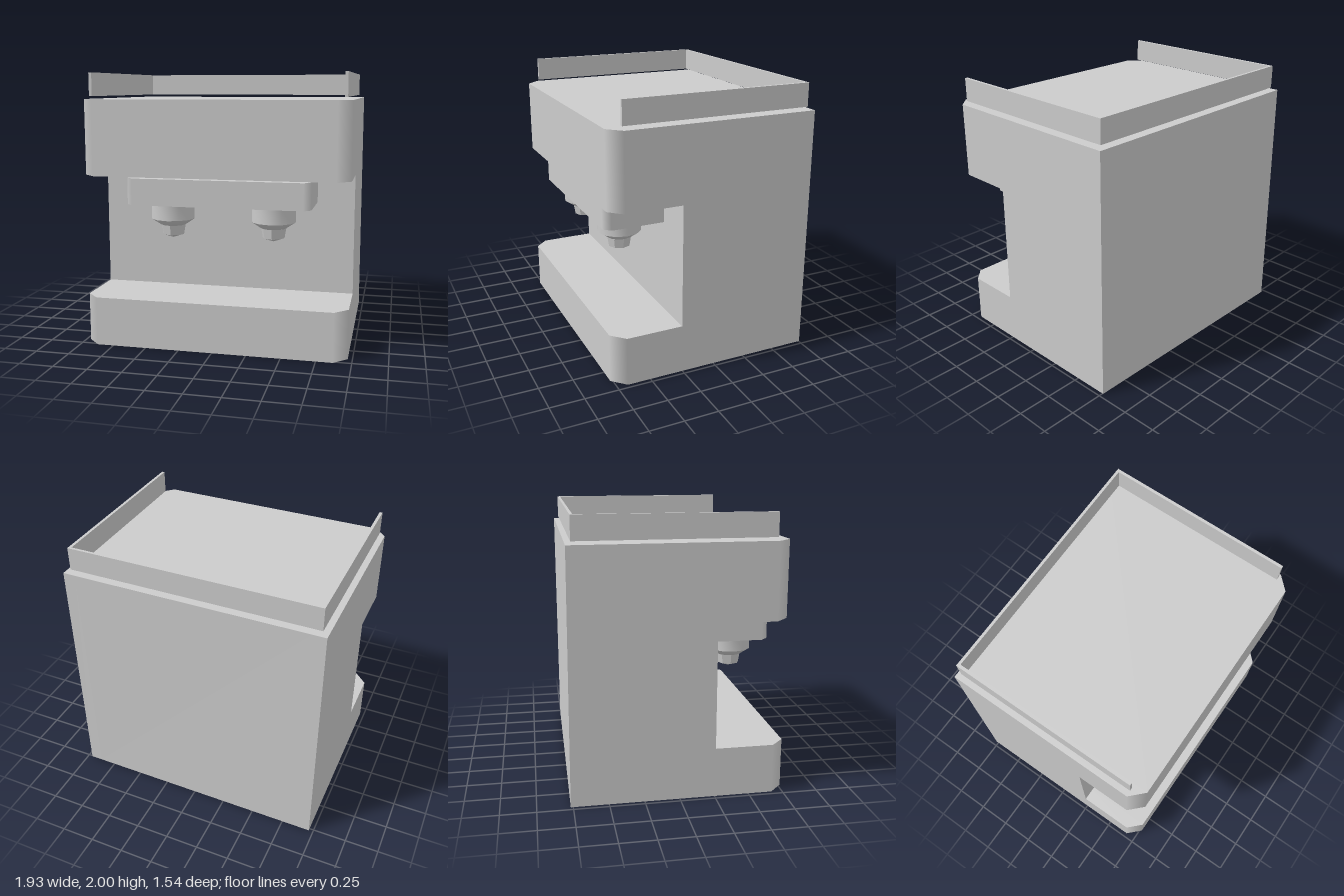
import * as THREE from 'three';
import { toCreasedNormals } from 'three/addons/utils/BufferGeometryUtils.js';

const material = new THREE.MeshStandardMaterial({ color: 0xcccccc });

function add(parent, name, geometry) {
  const mesh = new THREE.Mesh(geometry, material);
  mesh.name = name;
  parent.add(mesh);
  return mesh;
}

// Side profile of [z, y] points swept across x, with chamfered front corners shaded as round
function chamferedSweep(profile, halfWidth, chamfer, adjust) {
  const shape = new THREE.Shape(profile.map(([z, y]) => new THREE.Vector2(z, y)));
  let geo = new THREE.ExtrudeGeometry(shape, { depth: 3, steps: 3, bevelEnabled: false });
  geo.translate(0, 0, -1.5).rotateY(-Math.PI / 2);
  const front = Math.max(...profile.map(p => p[0]));
  const pos = geo.attributes.position;
  for (let i = 0; i < pos.count; i++) {
    const sx = pos.getX(i), end = Math.abs(sx) > 1;
    const x = Math.sign(sx) * (end ? halfWidth : halfWidth - chamfer);
    let z = pos.getZ(i);
    if (end && z > front - 0.001) z -= chamfer;
    if (adjust) z = adjust(x, pos.getY(i), z);
    pos.setXYZ(i, x, pos.getY(i), z);
  }
  if (geo.index) geo = geo.toNonIndexed();
  geo.computeVertexNormals();
  const n = geo.attributes.normal, p = geo.attributes.position;
  for (let i = 0; i < n.count; i++) {
    const nx = Math.abs(n.getX(i));
    if (nx < 0.4 || nx > 0.9) continue;
    if (Math.abs(p.getX(i)) > halfWidth - chamfer / 2) n.setXYZ(i, Math.sign(p.getX(i)), 0, 0);
    else n.setXYZ(i, 0, 0, 1);
  }
  return geo;
}

function lathe(points, sides, crease) {
  const geo = new THREE.LatheGeometry(points.map(([r, y]) => new THREE.Vector2(r, y)), sides);
  return toCreasedNormals(geo, crease);
}

export function createModel() {
  const model = new THREE.Group();
  model.name = 'coffeeMachine';

  // C-shaped housing; the back leans out slightly towards its lower right corner
  add(model, 'housing', chamferedSweep([
    [-0.755, 0], [0.767, 0], [0.767, 0.36], [0.255, 0.36],
    [0.255, 1.26], [0.767, 1.26], [0.767, 1.81], [-0.755, 1.81],
  ], 0.967, 0.095, (x, y, z) =>
    z < -0.7 ? z - 0.013 * (0.967 - x) / 1.934 * (1 - y / 1.81) : z));

  // Raised guard rail around the cup tray, open at the front
  const rail = new THREE.Shape([
    [-0.928, -0.67], [-0.906, -0.67], [-0.906, 0.7], [0.906, 0.7],
    [0.906, -0.67], [0.928, -0.67], [0.928, 0.72], [-0.928, 0.72],
  ].map(([x, y]) => new THREE.Vector2(x, y)));
  const railGeo = new THREE.ExtrudeGeometry(rail, { depth: 0.17, bevelEnabled: false });
  add(model, 'cupRail', railGeo.rotateX(-Math.PI / 2).translate(0, 1.83, 0));

  // Brew head under the overhang
  const head = add(model, 'brewHead', chamferedSweep(
    [[0.27, 1.05], [0.715, 1.05], [0.715, 1.245], [0.27, 1.245]], 0.672, 0.05));
  head.position.x = 0.022;

  // Two nozzles: a smooth collar and a faceted tip
  for (const [side, x] of [['right', -0.355], ['left', 0.402]]) {
    const nozzle = new THREE.Group();
    nozzle.name = side + 'Nozzle';
    nozzle.position.set(x, 0, 0.495);
    add(nozzle, 'collar', lathe(
      [[0, 0.885], [0.092, 0.885], [0.162, 0.932], [0.162, 1.047], [0, 1.047]], 12, 0.7));
    add(nozzle, 'tip', lathe(
      [[0, 0.785], [0.08, 0.812], [0.093, 0.885]], 8, 0.5));
    model.add(nozzle);
  }
  return model;
}
